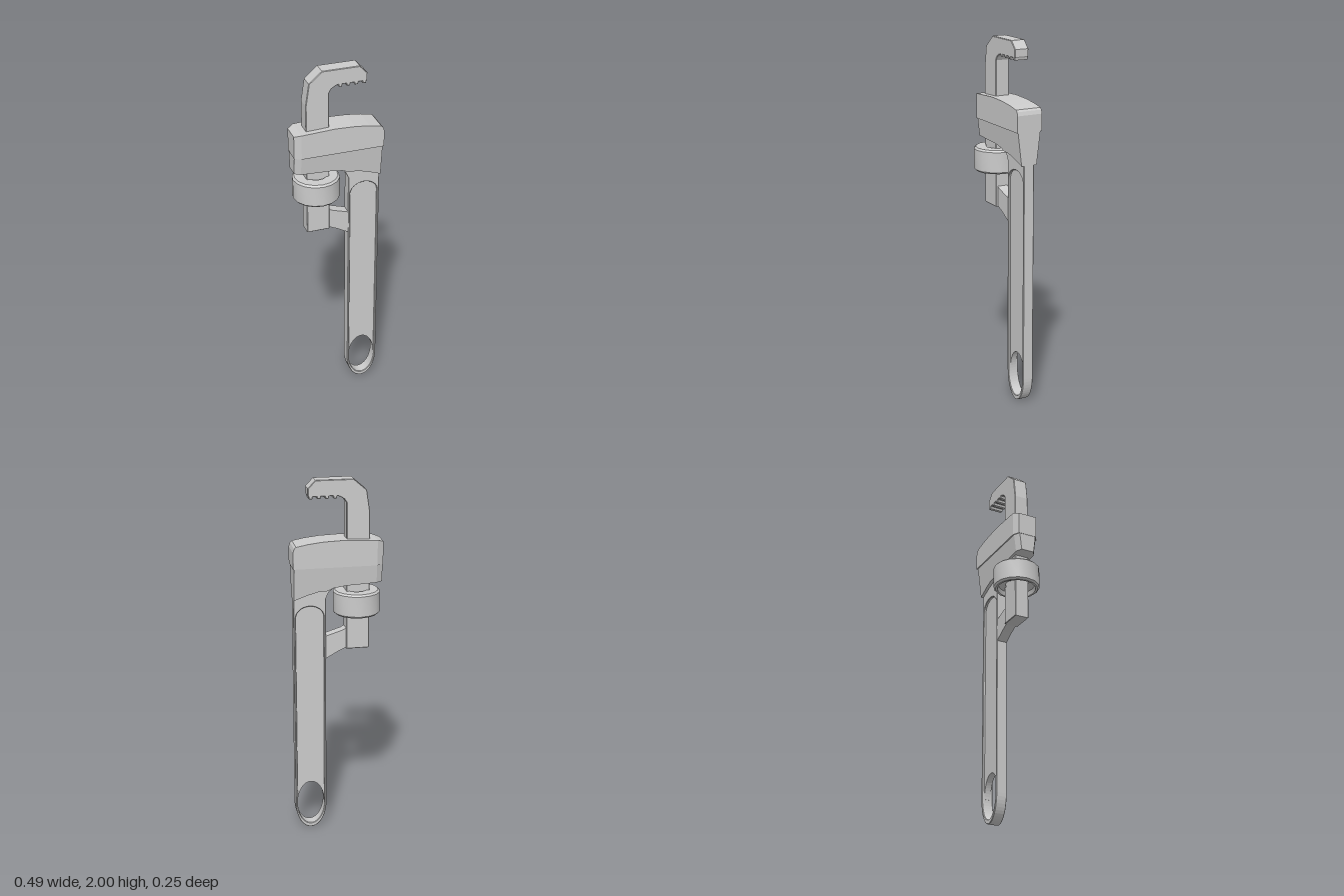
import * as THREE from 'three';
import { toCreasedNormals } from 'three/addons/utils/BufferGeometryUtils.js';

const flat = new THREE.MeshStandardMaterial({ color: 0xcccccc, flatShading: true });
const smooth = new THREE.MeshStandardMaterial({ color: 0xcccccc });

const shapeOf = (pts) => new THREE.Shape(pts.map(([x, y]) => new THREE.Vector2(x, y)));

// Plate in the xy plane, centred on z = 0, with an optional small bevel inside its outline
function plate(shape, halfZ, bevel = 0) {
  const geo = new THREE.ExtrudeGeometry(shape, {
    depth: 2 * (halfZ - bevel), curveSegments: 12, bevelEnabled: bevel > 0,
    bevelThickness: bevel, bevelSize: bevel, bevelOffset: -bevel, bevelSegments: 1,
  });
  return geo.translate(0, 0, -(halfZ - bevel));
}

// Loft of four-cornered sections along x: [x, yBottom, yTop, zBottom, zTop]
function loftX(sections) {
  const rings = sections.map(([x, yb, yt, zb, zt]) =>
    [[x, yb, zb], [x, yt, zt], [x, yt, -zt], [x, yb, -zb]]);
  const pos = [];
  const quad = (a, b, c, d) => pos.push(...a, ...b, ...c, ...a, ...c, ...d);
  for (let i = 0; i < rings.length - 1; i++) {
    for (let k = 0; k < 4; k++) {
      const n = (k + 1) % 4;
      quad(rings[i][k], rings[i + 1][k], rings[i + 1][n], rings[i][n]);
    }
  }
  quad(...rings[0]);
  quad(...rings[rings.length - 1].slice().reverse());
  const geo = new THREE.BufferGeometry();
  geo.setAttribute('position', new THREE.Float32BufferAttribute(pos, 3));
  geo.computeVertexNormals();
  return geo;
}

export function createModel() {
  const wrench = new THREE.Group();
  wrench.name = 'pipeWrench';
  const add = (name, geo, mat = flat) => {
    const mesh = new THREE.Mesh(geo, mat);
    mesh.name = name;
    wrench.add(mesh);
    return mesh;
  };

  // Handle rim: long frame with rounded lower end and arched upper opening
  const cx = 0.148;
  const rim = new THREE.Shape();
  rim.moveTo(cx + 0.0875, 1.42);
  rim.lineTo(cx - 0.0875, 1.42);
  rim.lineTo(cx - 0.0875, 0.15);
  rim.absellipse(cx, 0.15, 0.0875, 0.15, Math.PI, 2 * Math.PI, false);
  rim.closePath();
  const opening = new THREE.Path();
  opening.moveTo(cx + 0.077, 0.155);
  opening.lineTo(cx + 0.077, 1.255);
  opening.absellipse(cx, 1.255, 0.077, 0.065, 0, Math.PI, false);
  opening.lineTo(cx - 0.077, 0.155);
  opening.absellipse(cx, 0.155, 0.077, 0.13, Math.PI, 2 * Math.PI, false);
  rim.holes.push(opening);
  add('handleRim', plate(rim, 0.031, 0.003));

  // Sunken web, cut by the hanging hole at its lower end
  const web = new THREE.Shape();
  web.moveTo(cx + 0.08, 0.155);
  web.lineTo(cx + 0.08, 1.33);
  web.lineTo(cx - 0.08, 1.33);
  web.lineTo(cx - 0.08, 0.155);
  web.absellipse(cx, 0.155, 0.076, 0.125, Math.PI, 0, true);
  add('handleWeb', plate(web, 0.018));

  // Head: upper block with crowned top and chamfered rear end
  add('headBlock', loftX([
    [-0.245, 1.54, 1.665, 0.053, 0.053],
    [-0.21, 1.54, 1.676, 0.073, 0.073],
    [-0.03, 1.54, 1.685, 0.073, 0.073],
    [0.08, 1.54, 1.681, 0.073, 0.073],
    [0.16, 1.54, 1.672, 0.073, 0.073],
    [0.225, 1.54, 1.66, 0.073, 0.073],
    [0.235, 1.54, 1.65, 0.073, 0.073],
    [0.242, 1.54, 1.63, 0.073, 0.073],
  ]));

  // Head: lower part narrowing down onto the handle
  const taper = (y) => 0.045 + (y - 1.36) * 0.12;
  const lower = [[-0.243, 1.442], [-0.21, 1.44], [-0.05, 1.432], [0.02, 1.422],
    [0.06, 1.405], [0.1, 1.405], [0.16, 1.388], [0.236, 1.36]];
  add('headTaper', loftX(lower.map(([x, y], i) => {
    const inset = i === 0 ? 0.018 : 0;
    return [x, y, 1.54, taper(y) - inset, taper(1.54) - inset];
  })));

  // Web between head and handle
  add('headFillet', plate(shapeOf([
    [0.0, 1.44], [0.02, 1.415], [0.045, 1.395], [0.061, 1.36], [0.08, 1.36], [0.08, 1.44],
  ]), 0.03));

  // Hook jaw: shank and hooked end with a row of teeth underneath
  const jaw = [[-0.175, 1.07], [-0.05, 1.07], [-0.05, 1.875], [-0.038, 1.895], [-0.015, 1.91]];
  for (let i = 0; i < 4; i++) {
    const x = 0.0 + i * 0.043;
    jaw.push([x, 1.914], [x + 0.003, 1.901], [x + 0.019, 1.901], [x + 0.022, 1.914]);
  }
  jaw.push([0.155, 1.92], [0.155, 1.958], [0.115, 2.0], [-0.087, 2.0],
    [-0.157, 1.94], [-0.175, 1.82]);
  add('hookJaw', plate(shapeOf(jaw), 0.04, 0.003));

  // Adjusting nut around the shank, hollow underneath
  const nutProfile = [[0.06, 1.29], [0.1, 1.29], [0.106, 1.265], [0.117, 1.265],
    [0.127, 1.275], [0.127, 1.386], [0.117, 1.396], [0.06, 1.396]]
    .map(([r, y]) => new THREE.Vector2(r, y));
  const nut = add('adjustingNut',
    toCreasedNormals(new THREE.LatheGeometry(nutProfile, 16), 0.6), smooth);
  nut.position.x = -0.112;

  // Short arm joining the shank to the handle
  add('guideArm', plate(shapeOf([
    [-0.06, 1.075], [-0.05, 1.075], [0.0, 1.052], [0.066, 1.015],
    [0.066, 1.145], [-0.03, 1.175], [-0.05, 1.185], [-0.06, 1.185],
  ]), 0.029));

  return wrench;
}
